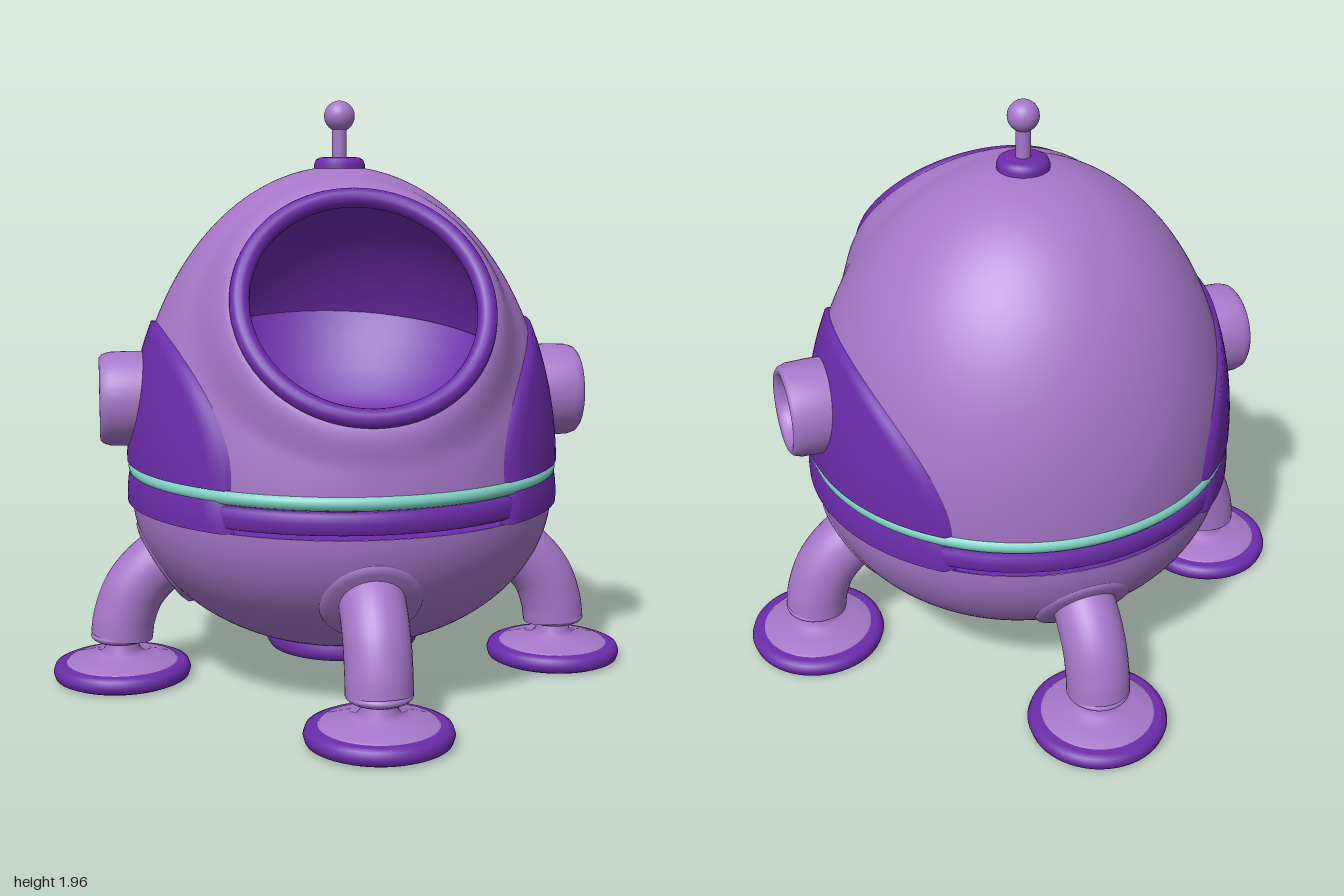
import * as THREE from 'three';
import { mergeVertices } from 'three/addons/utils/BufferGeometryUtils.js';

const mat = (name, color, side = THREE.DoubleSide) => {
  const m = new THREE.MeshStandardMaterial({ color, side });
  m.name = name;
  return m;
};

// Window plane: tilted back, facing up and forward
const WIN = { y: 1.325, z: 0.475, ny: 0.55, nz: 0.835, r: 0.395, blend: 0.14 };

// Hull radius at a height, for the upper dome and the lower bowl
const domeR = (y) => 0.72 * Math.sqrt(Math.max(0, 1 - ((y - 0.75) / 1.0) ** 2));
const bowlR = (y) => 0.72 * Math.sqrt(Math.max(0, 1 - ((y - 0.65) / 0.53) ** 2));
const lean = (y) => -0.05 * Math.max(0, y - 0.75);

// Smooth normals across seams
function smooth(geo) {
  geo.deleteAttribute('uv');
  geo.deleteAttribute('normal');
  const g = mergeVertices(geo, 1e-4);
  g.computeVertexNormals();
  return g;
}

// Half ellipsoid with a round window cut out and its edge drawn up to the window plane
function domeShell(radius, height, baseY, sink) {
  const geo = smooth(new THREE.SphereGeometry(1, 128, 72, 0, Math.PI * 2, 0, Math.PI / 2));
  const p = geo.attributes.position;
  const inside = [];
  for (let i = 0; i < p.count; i++) {
    let x = p.getX(i) * radius;
    let y = baseY + p.getY(i) * height;
    let z = p.getZ(i) * radius + lean(y);
    const dy = y - WIN.y, dz = z - WIN.z;
    let h = dy * WIN.ny + dz * WIN.nz;
    let s = dy * WIN.nz - dz * WIN.ny;
    const d = Math.hypot(x, s);
    if (h > -0.4 && d < WIN.r + WIN.blend) {
      inside[i] = d < WIN.r;
      if (inside[i]) {
        x *= WIN.r / d;
        s *= WIN.r / d;
      }
      const t = 1 - Math.max(0, d - WIN.r) / WIN.blend;
      h += (-sink - h) * t * t * (3 - 2 * t);
      y = WIN.y + h * WIN.ny + s * WIN.nz;
      z = WIN.z + h * WIN.nz - s * WIN.ny;
    }
    p.setXYZ(i, x, y, z);
  }
  const idx = geo.index.array, keep = [];
  for (let i = 0; i < idx.length; i += 3) {
    const t = [idx[i], idx[i + 1], idx[i + 2]];
    if (!t.every((v) => inside[v])) keep.push(...t);
  }
  geo.setIndex(keep);
  geo.computeVertexNormals();
  return geo;
}

// Raised half-oval panel lying on the hull at one side
function sidePanel(side, y0, halfWidth, height, radiusAt) {
  const geo = new THREE.PlaneGeometry(1, 1, 48, 16);
  const p = geo.attributes.position;
  for (let i = 0; i < p.count; i++) {
    const a = (p.getX(i) + 0.5) * Math.PI;
    const v = p.getY(i) + 0.5;
    const rho = Math.min(1, v * 16 / 15);
    const lift = v > 0.99 ? -0.01 : 0.016;
    const z = Math.cos(a) * halfWidth * rho;
    const y = y0 + Math.sin(a) * height * rho;
    const r = radiusAt(y) + lift;
    p.setXYZ(i, side * Math.sqrt(Math.max(0, r * r - (z - lean(y)) ** 2)), y, z);
  }
  return smooth(geo);
}

const lathe = (pts, seg = 64) =>
  new THREE.LatheGeometry(pts.map(([r, y]) => new THREE.Vector2(r, y)), seg);

export function createModel() {
  const model = new THREE.Group();
  model.name = 'spacePod';
  const light = mat('lilac', 0xa577c9);
  const dark = mat('deepPurple', 0x6c2cab);
  const teal = mat('teal', 0x7fd3c4);
  const add = (name, geo, material, parent = model) => {
    const m = new THREE.Mesh(geo, material);
    m.name = name;
    parent.add(m);
    return m;
  };

  // Hull
  add('upperHull', domeShell(0.72, 1.0, 0.75, 0), light);
  const lower = [];
  for (let i = 0; i <= 28; i++) {
    const y = 0.15 + 0.478 * (1 - Math.cos((i / 28) * Math.PI / 2));
    lower.push([bowlR(y), y]);
  }
  add('lowerHull', lathe([[0, 0.15], ...lower], 96), light);
  add('lowerHullTop', new THREE.CircleGeometry(0.718, 96).rotateX(-Math.PI / 2).translate(0, 0.628, 0), dark);

  // Cabin interior
  add('cabinWall', domeShell(0.68, 0.95, 0.76, 0.012), dark);
  const floor = lathe([[0, 0.82], [0.2, 0.82], [0.38, 0.83], [0.45, 0.87], [0.52, 0.93], [0.58, 1.0], [0.62, 1.07]], 64);
  const fp = floor.attributes.position;
  for (let i = 0; i < fp.count; i++) {
    const x = fp.getX(i), z = fp.getZ(i);
    fp.setY(i, fp.getY(i) - 0.2 * z * ((x * x + z * z) / 0.36));
  }
  add('cabinFloor', smooth(floor), dark);

  // Window frame
  const frame = add('windowFrame', new THREE.TorusGeometry(0.392, 0.032, 16, 80), dark);
  frame.position.set(0, WIN.y, WIN.z);
  frame.rotation.x = -Math.asin(WIN.ny);

  // Waist bands
  add('waistBand', lathe([[0, 0.642], [0.715, 0.642], [0.727, 0.65], [0.729, 0.68], [0.727, 0.707], [0.715, 0.715], [0, 0.715]], 96), dark);
  const trim = add('waistTrim', new THREE.TorusGeometry(0.707, 0.025, 14, 96), teal);
  trim.rotation.x = Math.PI / 2;
  trim.position.y = 0.742;

  // Side panels and portholes
  for (const side of [1, -1]) {
    const tag = side > 0 ? 'left' : 'right';
    add(tag + 'UpperPanel', sidePanel(side, 0.765, 0.575, 0.468, domeR), dark);
    add(tag + 'LowerPanel', sidePanel(side, 0.628, 0.57, 0.375, bowlR), dark);
    const port = add(tag + 'Porthole', lathe([[0.157, 0.6], [0.16, 0.72], [0.158, 0.79], [0.15, 0.815], [0.138, 0.825],
      [0.122, 0.82], [0.112, 0.8], [0.105, 0.76], [0.09, 0.748], [0, 0.745]], 48), light);
    port.rotation.z = -side * Math.PI / 2;
    port.position.y = 0.975;
  }

  // Antenna
  const antenna = new THREE.Group();
  antenna.name = 'antenna';
  antenna.position.z = -0.05;
  model.add(antenna);
  add('antennaBase', lathe([[0.085, 1.72], [0.087, 1.755], [0.08, 1.772], [0.065, 1.78], [0, 1.782]], 40), dark, antenna);
  add('antennaStem', new THREE.CylinderGeometry(0.025, 0.025, 0.14, 20).translate(0, 1.84, 0), light, antenna);
  add('antennaBall', new THREE.SphereGeometry(0.052, 28, 20).translate(0, 1.918, 0), light, antenna);

  // Thruster ring under the hull
  add('thruster', lathe([[0, 0.13], [0.19, 0.13], [0.205, 0.105], [0.225, 0.097], [0.25, 0.101], [0.262, 0.12],
    [0.262, 0.15], [0.25, 0.165], [0.2, 0.18]], 64), dark);

  // Four legs
  const legPath = new THREE.CatmullRomCurve3([[0.5, 0.46], [0.62, 0.415], [0.715, 0.32], [0.755, 0.22], [0.765, 0.155]]
    .map(([z, y]) => new THREE.Vector3(0, y, z)));
  const legGeo = new THREE.TubeGeometry(legPath, 28, 0.106, 32);
  const footZ = 0.765;
  const ankleGeo = lathe([[0.055, 0.16], [0.06, 0.11], [0.075, 0.092], [0.12, 0.083], [0.185, 0.07], [0.195, 0.058]].reverse(), 48);
  const padGeo = lathe([[0, 0.006], [0.21, 0.006], [0.228, 0.014], [0.235, 0.035], [0.228, 0.056], [0.21, 0.064], [0, 0.066]], 56);
  const collarGeo = lathe([[0.17, -0.08], [0.172, -0.01], [0.162, 0.012], [0.14, 0.02], [0.1, 0.025]], 48);
  ['frontLeg', 'leftLeg', 'backLeg', 'rightLeg'].forEach((name, i) => {
    const leg = new THREE.Group();
    leg.name = name;
    leg.rotation.y = i * Math.PI / 2;
    model.add(leg);
    add('strut', legGeo, light, leg);
    const collar = add('hipCollar', collarGeo, light, leg);
    collar.position.set(0, 0.41, 0.61);
    collar.rotation.x = Math.PI / 2 + 0.58;
    const end = add('strutEnd', new THREE.SphereGeometry(0.106, 32, 16), light, leg);
    end.scale.y = 0.3;
    end.position.set(0, 0.157, footZ);
    add('ankle', ankleGeo, light, leg).position.z = footZ;
    add('footPad', padGeo, dark, leg).position.z = footZ;
  });

  return model;
}
